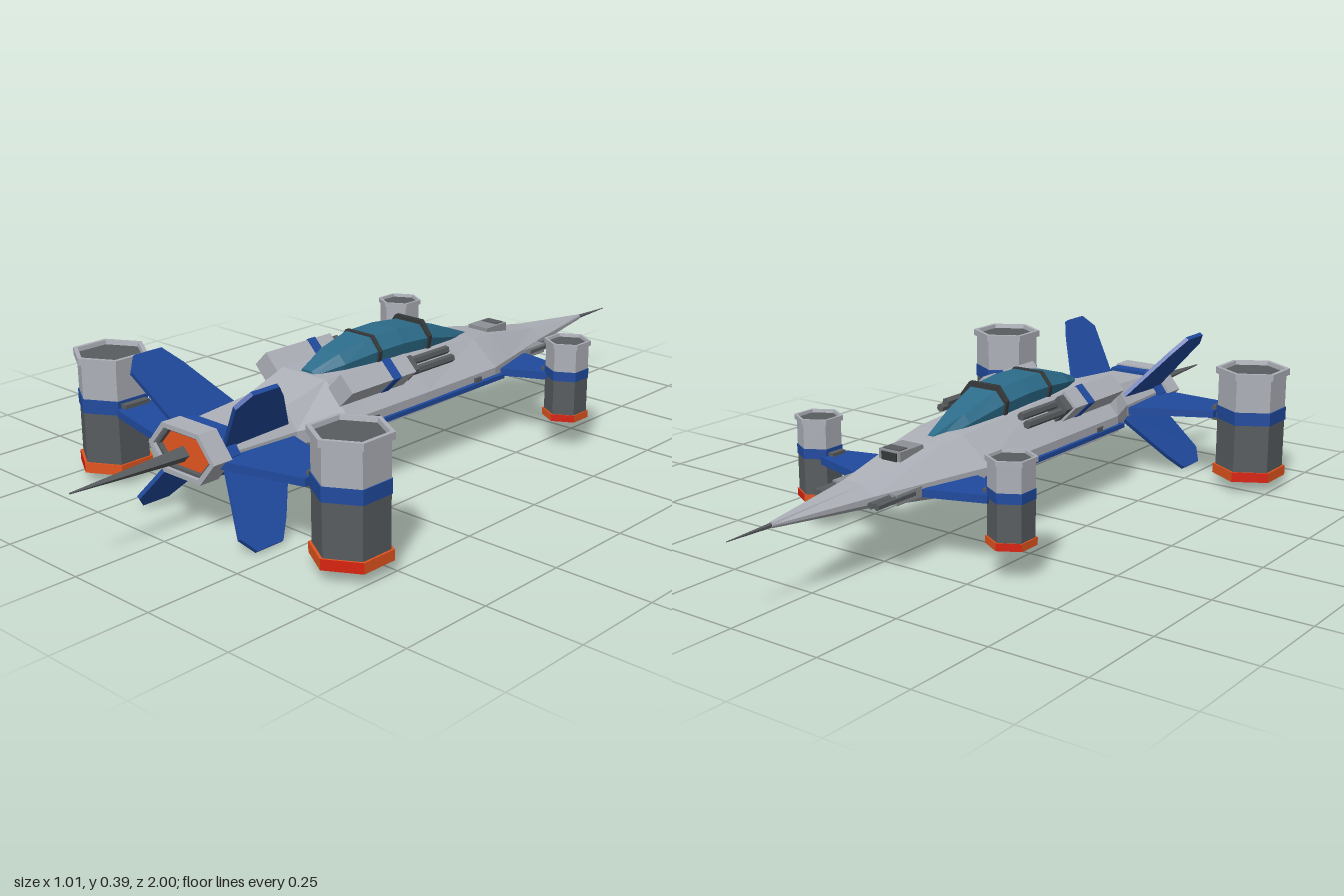
import * as THREE from 'three';

const mat = (name, color, extra = {}) => {
  const m = new THREE.MeshStandardMaterial({ color, flatShading: true, ...extra });
  m.name = name;
  return m;
};

// Skin closed rings of [x, y, z] points, capped at both ends and always facing outwards
function loft(rings) {
  const tris = [];
  const n = rings[0].length;
  for (let i = 0; i < rings.length - 1; i++) {
    for (let j = 0; j < n; j++) {
      const k = (j + 1) % n;
      const [a, b, c, d] = [rings[i][j], rings[i][k], rings[i + 1][k], rings[i + 1][j]];
      tris.push([a, b, d], [b, c, d]);
    }
  }
  const last = rings[rings.length - 1];
  for (let j = 1; j < n - 1; j++) {
    tris.push([rings[0][0], rings[0][j + 1], rings[0][j]], [last[0], last[j], last[j + 1]]);
  }
  const V = (p) => new THREE.Vector3(...p);
  let volume = 0;
  for (const [a, b, c] of tris) volume += V(a).dot(V(b).cross(V(c)));
  const pos = tris.flatMap((t) => (volume < 0 ? [t[0], t[2], t[1]] : t)).flat();
  const g = new THREE.BufferGeometry();
  g.setAttribute('position', new THREE.Float32BufferAttribute(pos, 3));
  g.computeVertexNormals();
  return g;
}

// Flat plate from corner points, thickened along a direction
function plate(corners, dir, t) {
  const shift = (h) => corners.map((p) => p.map((v, i) => v + dir[i] * h));
  return loft([shift(-t / 2), shift(t / 2)]);
}

// Eight-sided hull ring: z, half width, top y, bottom y, half width of the flats
const hullRing = ([z, w, top, bot, f]) => {
  const hi = 0.2 + (top - 0.2) * 0.15, lo = 0.2 - (0.2 - bot) * 0.4;
  return [[f, bot, z], [w, lo, z], [w, hi, z], [f, top, z],
    [-f, top, z], [-w, hi, z], [-w, lo, z], [-f, bot, z]];
};

// Arched canopy ring: z, half width, base y, top y
const canopyRing = ([z, w, base, top]) => {
  const mid = base + (top - base) * 0.55;
  return [[w * 0.9, base, z], [w, mid, z], [w * 0.6, top, z],
    [-w * 0.6, top, z], [-w, mid, z], [-w * 0.9, base, z]];
};

export function createModel() {
  const M = {
    hull: mat('light grey hull', 0xacafb7),
    rim: mat('mid grey', 0x8e9197),
    dark: mat('dark grey metal', 0x585c5f),
    black: mat('black trim', 0x36393b),
    blue: mat('blue paint', 0x204a9e),
    glass: mat('teal glass', 0x2c6c8a),
    orange: mat('orange glow', 0xe2551f),
    red: mat('red glow', 0xd8220f),
    amber: mat('amber core', 0xa87a28),
  };
  const root = new THREE.Group();
  root.name = 'starfighter';
  const add = (name, geo, material, x = 0, y = 0, z = 0, parent = root) => {
    const m = new THREE.Mesh(geo, material);
    m.name = name;
    m.position.set(x, y, z);
    parent.add(m);
    return m;
  };
  const box = (w, h, d) => new THREE.BoxGeometry(w, h, d);
  const cyl = (r0, r1, h, n = 6) => new THREE.CylinderGeometry(r0, r1, h, n);
  const rodZ = (r0, r1, h, n = 6) => cyl(r0, r1, h, n).rotateX(Math.PI / 2);

  // Fuselage and its needle tips
  add('fuselage', loft([
    [-0.87, 0.006, 0.205, 0.193, 0.004], [-0.6, 0.062, 0.228, 0.168, 0.03],
    [-0.36, 0.128, 0.268, 0.137, 0.06], [-0.28, 0.15, 0.278, 0.132, 0.07],
    [0.0, 0.156, 0.296, 0.127, 0.075], [0.29, 0.156, 0.3, 0.127, 0.075],
    [0.42, 0.105, 0.262, 0.145, 0.066], [0.62, 0.09, 0.25, 0.155, 0.055],
  ].map(hullRing)), M.hull);
  add('noseNeedle', rodZ(0.007, 0.001, 0.15), M.dark, 0, 0.199, -0.925);
  add('tailSpike', rodZ(0.002, 0.02, 0.32, 4), M.dark, 0, 0.2, 0.84);

  // Tail nozzle with a hollow rim and glowing plate
  const hexagon = (w, h, f, Cls = THREE.Shape) => {
    const s = new Cls();
    [[w, 0], [f, h], [-f, h], [-w, 0], [-f, -h], [f, -h]]
      .forEach(([x, y], i) => (i ? s.lineTo(x, y) : s.moveTo(x, y)));
    s.closePath();
    return s;
  };
  const ring = (w, h, f, d, t) => {
    const s = hexagon(w, h, f);
    s.holes.push(hexagon(w - t * 1.3, h - t, f - t * 0.6, THREE.Path));
    return new THREE.ExtrudeGeometry(s, { depth: d, bevelEnabled: false });
  };
  const slab = (w, h, f, d) => new THREE.ExtrudeGeometry(hexagon(w, h, f), { depth: d, bevelEnabled: false });
  add('nozzleBand', slab(0.104, 0.058, 0.06, 0.04), M.blue, 0, 0.203, 0.598);
  add('nozzleRim', ring(0.116, 0.062, 0.064, 0.056, 0.012), M.hull, 0, 0.203, 0.634);
  add('nozzleLiner', ring(0.101, 0.051, 0.057, 0.04, 0.008), M.dark, 0, 0.203, 0.64);
  add('nozzleGlow', slab(0.091, 0.044, 0.053, 0.008), M.orange, 0, 0.203, 0.66);

  // Canopy with two ribs
  add('canopy', loft([
    [-0.32, 0.014, 0.24, 0.274], [-0.22, 0.045, 0.26, 0.312], [-0.1, 0.068, 0.28, 0.35],
    [0, 0.071, 0.285, 0.36], [0.1, 0.069, 0.285, 0.358], [0.2, 0.055, 0.285, 0.336],
    [0.28, 0.026, 0.285, 0.306],
  ].map(canopyRing)), M.glass);
  for (const z of [-0.1, 0.09]) {
    add('canopyRib', loft([[z - 0.006, 0.074, 0.28, 0.362], [z + 0.006, 0.074, 0.28, 0.362]]
      .map(canopyRing)), M.black);
  }

  // Sensor turret on the nose
  add('sensorHousing', box(0.066, 0.035, 0.085), M.rim, 0, 0.256, -0.43);
  add('sensorWindow', box(0.046, 0.022, 0.006), M.black, 0, 0.258, -0.473);
  add('sensorTop', box(0.05, 0.004, 0.03), M.dark, 0, 0.274, -0.452);

  // Hexagonal lift engine, built around wing height
  function engine(name, x, z, scale) {
    const e = new THREE.Group();
    e.name = name;
    e.position.set(x, 0.2, z);
    e.scale.set(...scale);
    root.add(e);
    add('engineBody', cyl(0.091, 0.091, 0.14), M.dark, 0, -0.075, 0, e);
    add('engineBand', cyl(0.094, 0.094, 0.036), M.blue, 0, 0.009, 0, e);
    add('engineCowl', cyl(0.091, 0.091, 0.09), M.hull, 0, 0.072, 0, e);
    add('intakeRim', new THREE.LatheGeometry([
      [0.084, 0.115], [0.1, 0.117], [0.1, 0.135], [0.088, 0.135], [0.084, 0.115],
    ].map(([r, y]) => new THREE.Vector2(r, y)), 6), M.hull, 0, 0, 0, e);
    add('intakeFan', cyl(0.088, 0.088, 0.006), M.dark, 0, 0.121, 0, e);
    // Exhaust ring alternates red outer facets and orange inner ones
    for (let i = 0; i < 6; i++) {
      const mid = (i + 0.5) * Math.PI / 3;
      const outer = Math.sin(mid) * Math.sign(x) > 0 && Math.abs(Math.cos(mid)) > 0.1;
      add('exhaustFacet', new THREE.CylinderGeometry(0.099, 0.099, 0.027, 1, 1, true,
        i * Math.PI / 3, Math.PI / 3), outer ? M.red : M.orange, 0, -0.1535, 0, e);
    }
    add('exhaustPlate', cyl(0.0985, 0.0985, 0.025), M.orange, 0, -0.1535, 0, e);
    add('exhaustCore', cyl(0.042, 0.042, 0.004), M.amber, 0, -0.1675, 0, e);
  }

  for (const s of [-1, 1]) {
    engine('rearEngine', s * 0.417, 0.56, [1, 1, 1]);
    engine('frontEngine', s * 0.3, -0.395, [0.62, 0.71, 0.62]);

    // Wings carrying the engines, with dark pylon joints
    add('rearWing', plate([[s * 0.08, 0.19, 0.42], [s * 0.33, 0.2, 0.505],
      [s * 0.33, 0.2, 0.615], [s * 0.08, 0.19, 0.66]], [0, 1, 0], 0.02), M.blue);
    add('frontWing', plate([[s * 0.1, 0.187, -0.475], [s * 0.26, 0.192, -0.435],
      [s * 0.26, 0.192, -0.36], [s * 0.1, 0.187, -0.3]], [0, 1, 0], 0.02), M.blue);
    add('rearPylon', box(0.024, 0.04, 0.075), M.dark, s * 0.328, 0.2, 0.56);
    add('frontPylon', box(0.02, 0.03, 0.045), M.dark, s * 0.244, 0.195, -0.395);

    // Crossed tail fins
    for (const v of [-1, 1]) {
      const y = (h) => 0.196 + v * h;
      add('tailFin', plate([[s * 0.066, y(0.01), 0.41], [s * 0.175, y(0.152), 0.53],
        [s * 0.205, y(0.19), 0.57], [s * 0.205, y(0.19), 0.65], [s * 0.18, y(0.158), 0.68],
        [s * 0.066, y(0.01), 0.62]], [s * 0.79, -v * 0.61, 0], 0.011), M.blue);
    }

    // Side stripe along the hull edge
    add('sideStripe', box(0.014, 0.012, 0.61), M.blue, s * 0.158, 0.186, 0.005);
    for (const z of [-0.2, 0.2]) add('sidePort', box(0.01, 0.012, 0.025), M.dark, s * 0.154, 0.198, z);

    // Tilted weapon pod on the shoulder, with twin barrels
    const pod = new THREE.Group();
    pod.name = 'weaponPod';
    pod.position.set(s * 0.125, 0.282, 0);
    pod.rotation.z = -s * Math.PI / 4;
    root.add(pod);
    add('podBody', box(0.056, 0.072, 0.23), M.hull, 0, 0, 0.18, pod);
    add('podStripe', box(0.06, 0.076, 0.028), M.blue, 0, 0, 0.135, pod);
    add('podMuzzle', box(0.044, 0.056, 0.03), M.dark, 0, 0, 0.055, pod);
    for (const o of [-0.013, 0.013]) {
      add('podBarrel', rodZ(0.011, 0.011, 0.16), M.dark, o, 0.006, -0.03, pod);
    }

    // Nose guns on the flanks
    add('noseGunMount', box(0.03, 0.026, 0.09), M.rim, s * 0.085, 0.192, -0.52);
    for (const o of [-0.009, 0.009]) {
      add('noseGunBarrel', rodZ(0.009, 0.009, 0.13), M.dark, s * 0.085 + o, 0.193, -0.565);
    }
  }
  return root;
}
